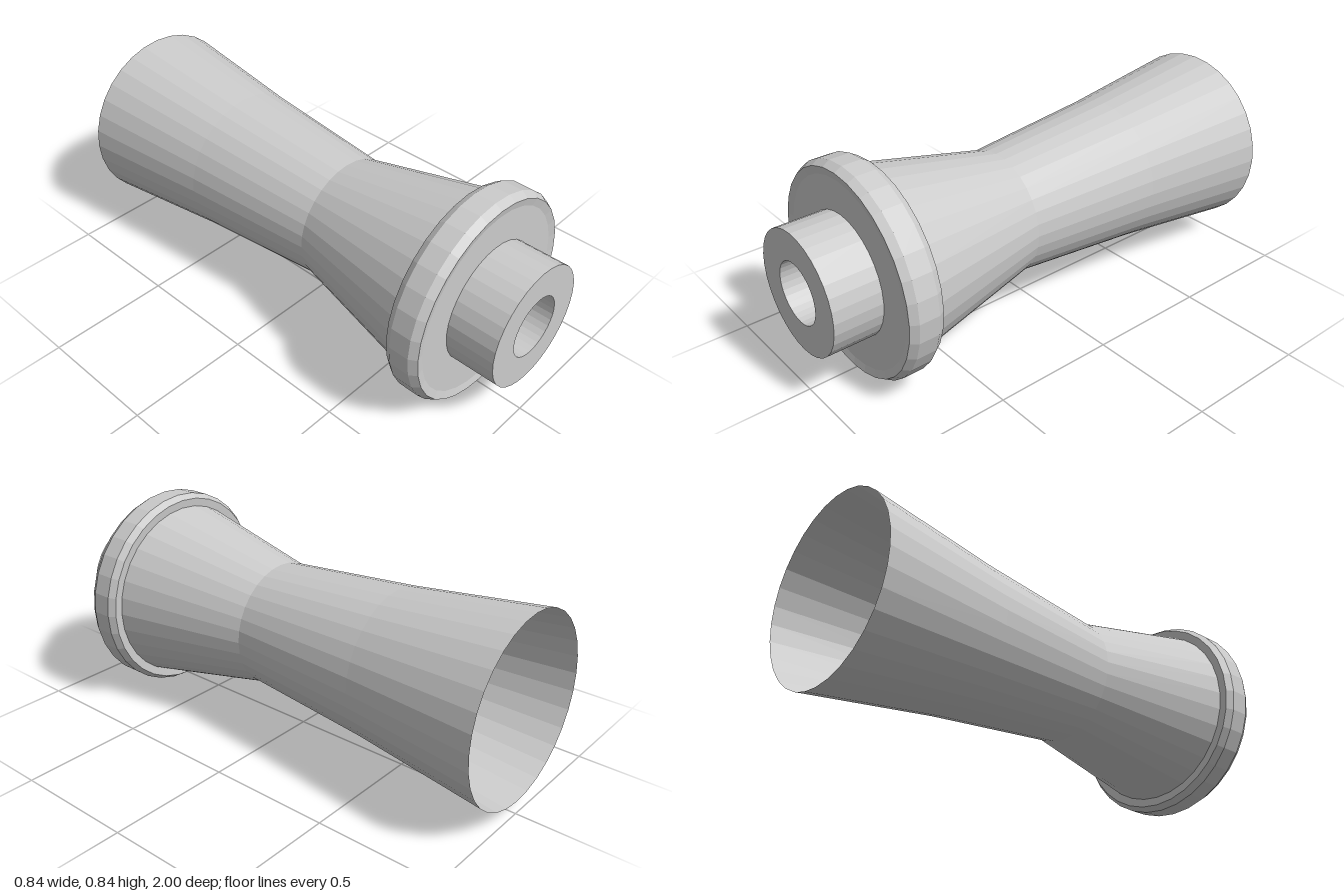
import * as THREE from 'three';

const SEGMENTS = 32;
const RADIUS = 0.421;

export function createModel() {
  const model = new THREE.Group();
  model.name = 'rocketNozzle';
  const material = new THREE.MeshStandardMaterial({
    color: 0xcccccc, flatShading: true, side: THREE.DoubleSide,
  });

  // Turns a profile of [radius, z] points, listed back to front, around the z axis
  function turned(name, profile) {
    const points = profile.map(([r, z]) => new THREE.Vector2(r, z));
    const geometry = new THREE.LatheGeometry(points, SEGMENTS).rotateX(Math.PI / 2);
    const mesh = new THREE.Mesh(geometry, material);
    mesh.name = name;
    mesh.position.y = RADIUS + 0.002;
    model.add(mesh);
  }

  // Thin open bell, pinched at the throat and widening to the flange
  turned('bell', [[0.369, -1], [0.302, -0.45], [0.252, 0.118], [0.369, 0.675]]);

  // Flange with bevelled rim and a slightly dished front face
  turned('flange', [
    [0.369, 0.675], [0.403, 0.672], [RADIUS, 0.7], [RADIUS, 0.782],
    [0.403, 0.812], [0.372, 0.805], [0, 0.805],
  ]);

  // Inlet collar with a blind bore
  turned('inletCollar', [[0.241, 0.805], [0.241, 1], [0.121, 1], [0.121, 0.805]]);

  return model;
}
